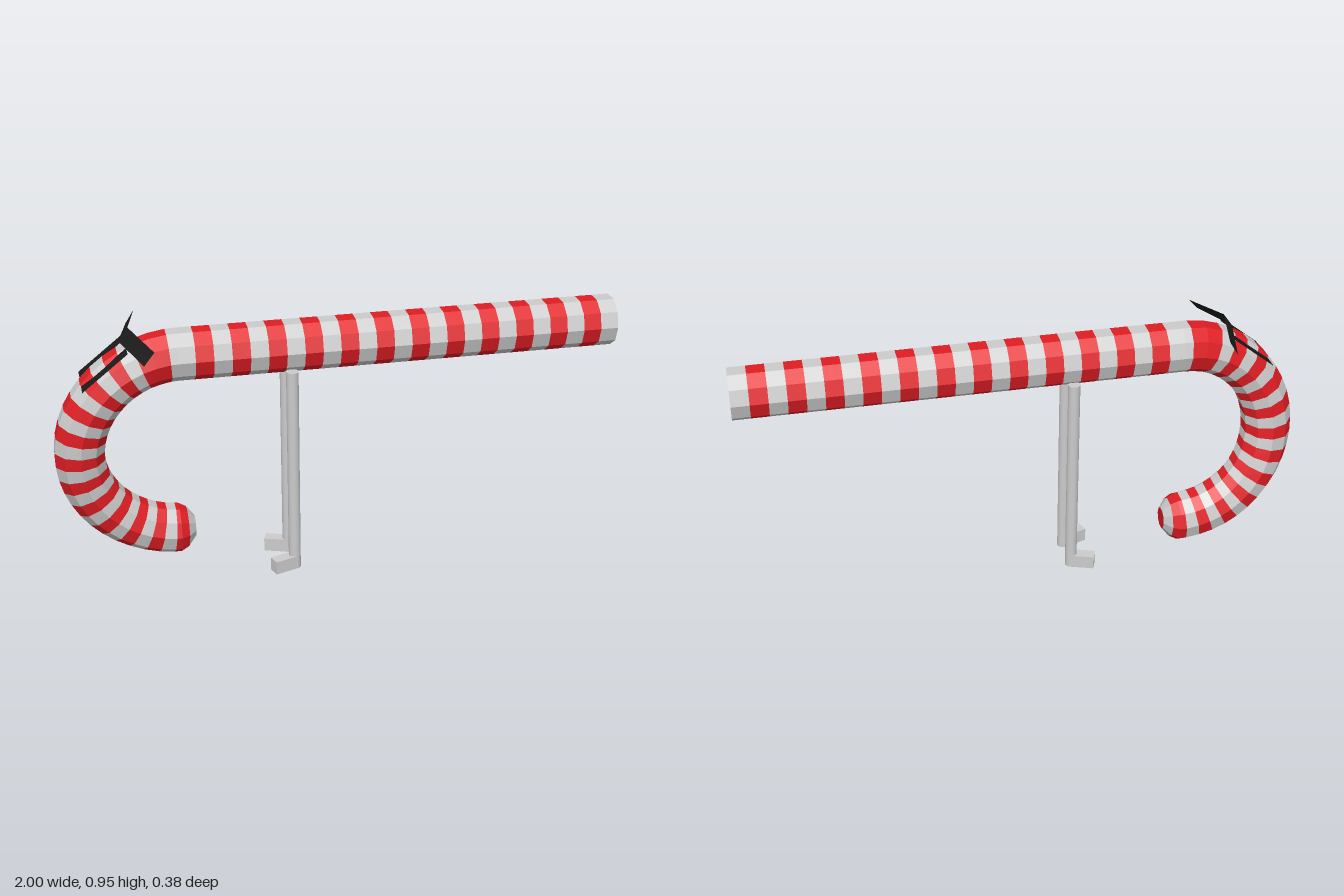
import * as THREE from 'three';

const SIDES = 10, R = 0.347, CX = -0.567, CY = 0.495, TUBE = 0.091;

const grey = new THREE.MeshStandardMaterial({ color: 0xcccccc, flatShading: true });
const red = new THREE.MeshStandardMaterial({ color: 0xdf1d23, flatShading: true });
const greyRound = new THREE.MeshStandardMaterial({ color: 0xcccccc });
const black = new THREE.MeshStandardMaterial({ color: 0x1b1b1b, flatShading: true, side: THREE.DoubleSide });

// sideways drift of the hook as it curls down
const drift = new THREE.CatmullRomCurve3(
  [0, 0.011, 0.009, -0.006, -0.03, -0.045, -0.047].map((z, i) => new THREE.Vector3(i, 0, z)));

// ring at angle t (degrees from the top of the hook), shifted along x
function ring(t, shift, r) {
  const a = THREE.MathUtils.degToRad(t), s = Math.sin(a), c = Math.cos(a);
  const z = drift.getPoint(Math.min(t / 180, 1)).z;
  return Array.from({ length: SIDES }, (_, i) => {
    const b = (i / SIDES) * Math.PI * 2, up = R + r * Math.sin(b);
    return [CX + shift - up * s, CY + up * c, z + r * Math.cos(b)];
  });
}

// stripes between successive rings; each ring is [angle, shift, radius, colour of the stripe after it]
function stripes(name, rings) {
  const group = new THREE.Group();
  group.name = name;
  const data = { red: [], grey: [] };
  for (let k = 0; k + 1 < rings.length; k++) {
    const [ta, sa, ra, color] = rings[k], [tb, sb, rb] = rings[k + 1];
    const A = ring(ta, sa, ra), B = ring(tb, sb, rb), out = data[color];
    for (let i = 0; i < SIDES; i++) {
      const j = (i + 1) % SIDES;
      if (ra > 0) out.push(...A[i], ...A[j], ...B[j]);
      if (rb > 0) out.push(...A[i], ...B[j], ...B[i]);
    }
  }
  for (const [color, material] of [['red', red], ['grey', grey]]) {
    const g = new THREE.BufferGeometry();
    g.setAttribute('position', new THREE.Float32BufferAttribute(data[color], 3));
    g.computeVertexNormals();
    const mesh = new THREE.Mesh(g, material);
    mesh.name = color + 'Stripes';
    group.add(mesh);
  }
  return group;
}

// flat ribbon with four corners
function ribbon(name, a, b, c, d) {
  const g = new THREE.BufferGeometry();
  g.setAttribute('position', new THREE.Float32BufferAttribute([...a, ...b, ...c, ...a, ...c, ...d], 3));
  g.computeVertexNormals();
  const mesh = new THREE.Mesh(g, black);
  mesh.name = name;
  return mesh;
}

export function createModel() {
  const model = new THREE.Group();
  model.name = 'stripedCane';

  // straight shaft with a closed red end
  const shaft = [[0, 1 - CX, 0, 'red']];
  for (let i = 0; i <= 24; i++) shaft.push([0, 1 - CX - i * 0.0628, TUBE, i % 2 ? 'red' : 'grey']);
  shaft.push([0, 0, TUBE, 'grey'], [4, 0, TUBE, 'grey']);
  model.add(stripes('shaft', shaft));

  // curled hook ending in a tapered tip
  const hook = [[4, 0, TUBE, 'red'], [12, 0, TUBE, 'red']];
  for (let i = 0; i <= 21; i++) hook.push([20 + i * 7.4, 0, 0.09, i % 2 ? 'red' : 'grey']);
  hook.push([180, -0.008, 0.089, 'red'], [180, 0.02, 0.074, 'grey'], [180, 0.047, 0.04, 'red'], [180, 0.047, 0, 'red']);
  model.add(stripes('hook', hook));

  // two legs with feet turned outwards
  for (const side of [1, -1]) {
    const leg = new THREE.Group();
    leg.name = side > 0 ? 'frontLeg' : 'backLeg';
    leg.position.set(-0.174, 0, 0.003 + side * 0.063);
    const post = new THREE.Mesh(new THREE.CylinderGeometry(0.022, 0.022, 0.77, 12), greyRound);
    post.name = 'post';
    post.position.y = 0.385;
    const foot = new THREE.Mesh(new THREE.BoxGeometry(0.09, 0.05, 0.042), grey);
    foot.name = 'foot';
    foot.position.set(-0.04, 0.025, side * 0.014);
    foot.rotation.y = side * 0.33;
    leg.add(post, foot);
    model.add(leg);
  }

  // bow: two loops meeting at the middle, two tails lying along the hook
  const low = [-0.757, 0.906, 0], high = [-0.723, 0.953, 0];
  model.add(
    ribbon('bowLoopFront', low, high, [-0.653, 0.928, 0.18], [-0.69, 0.886, 0.19]),
    ribbon('bowLoopBack', low, high, [-0.685, 0.944, -0.187], [-0.715, 0.895, -0.19]));
  for (const [name, z0, z1] of [['bowTailFront', 0.047, 0.103], ['bowTailBack', -0.085, -0.03]]) {
    model.add(ribbon(name, [-0.893, 0.772, z0], [-0.893, 0.772, z1], [-0.735, 0.898, z1], [-0.735, 0.898, z0]));
  }
  return model;
}
